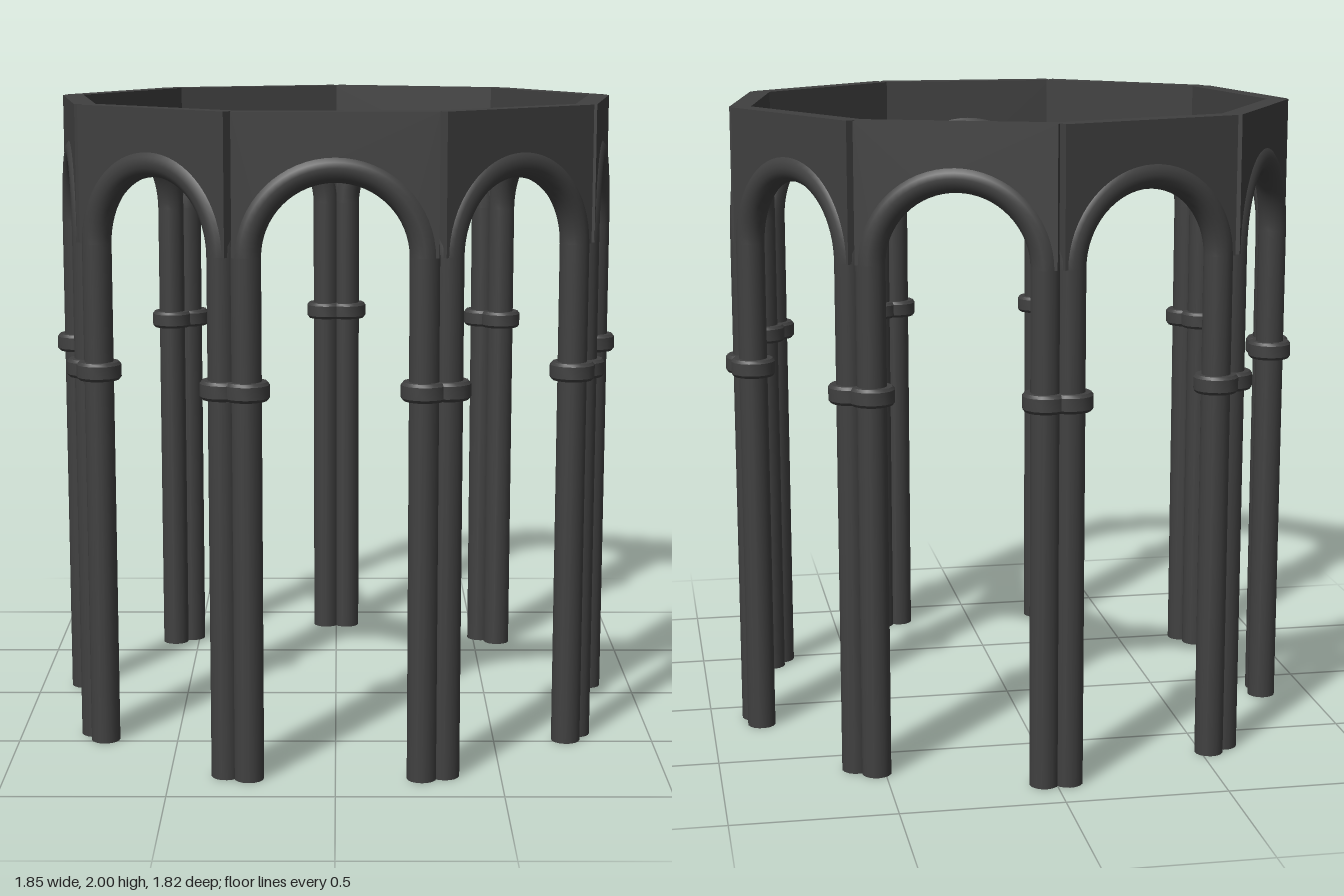
import * as THREE from 'three';
import { toCreasedNormals } from 'three/addons/utils/BufferGeometryUtils.js';

const SIDES = 9;
const RADIUS = 0.876;                                   // to the corners of the ring
const HALF = RADIUS * Math.sin(Math.PI / SIDES);        // half width of a bay
const APOTHEM = RADIUS * Math.cos(Math.PI / SIDES);
const ARCH = 0.26, TUBE = 0.045, SPRING = 1.58, TOP = 2, WALL = 0.066;

// Flat wall above the arch, with square ends that leave a fine notch at each corner
function spandrelGeometry() {
  const s = new THREE.Shape();
  s.moveTo(-HALF, SPRING);
  s.lineTo(-ARCH, SPRING);
  s.absarc(0, SPRING, ARCH, Math.PI, 0, true);
  s.lineTo(HALF, SPRING);
  s.lineTo(HALF, TOP);
  s.lineTo(-HALF, TOP);
  s.closePath();
  const g = new THREE.ExtrudeGeometry(s, { depth: WALL, bevelEnabled: false, curveSegments: 24 });
  g.translate(0, 0, -WALL / 2);
  return toCreasedNormals(g, 0.6);
}

// Bevelled band around a column
function collarGeometry() {
  const profile = [[0.04, -0.028], [0.062, -0.028], [0.069, -0.019],
    [0.069, 0.019], [0.062, 0.028], [0.04, 0.028]].map(([x, y]) => new THREE.Vector2(x, y));
  return toCreasedNormals(new THREE.LatheGeometry(profile, 16), 0.5);
}

export function createModel() {
  const model = new THREE.Group();
  model.name = 'arcadeRing';
  const material = new THREE.MeshStandardMaterial({ color: 0x404040 });

  const spandrel = spandrelGeometry();
  const arch = new THREE.TorusGeometry(ARCH, TUBE, 16, 32, Math.PI);
  const column = new THREE.CylinderGeometry(TUBE, TUBE, SPRING, 16);
  const collar = collarGeometry();

  const add = (parent, name, geometry, x, y) => {
    const mesh = new THREE.Mesh(geometry, material);
    mesh.name = name;
    mesh.position.set(x, y, 0);
    parent.add(mesh);
  };

  for (let i = 0; i < SIDES; i++) {
    const bay = new THREE.Group();
    bay.name = `bay${i + 1}`;
    add(bay, 'spandrel', spandrel, 0, 0);
    add(bay, 'arch', arch, 0, SPRING);
    for (const [side, name] of [[1, 'left'], [-1, 'right']]) {
      add(bay, `${name}Column`, column, side * ARCH, SPRING / 2);
      add(bay, `${name}Collar`, collar, side * ARCH, 1.188);
    }
    // Bay 1 faces the front; the ring sits slightly forward so its bounds are centred
    const a = (i / SIDES) * Math.PI * 2;
    bay.rotation.y = a;
    bay.position.set(Math.sin(a) * APOTHEM, 0, Math.cos(a) * APOTHEM + 0.017);
    model.add(bay);
  }
  return model;
}
